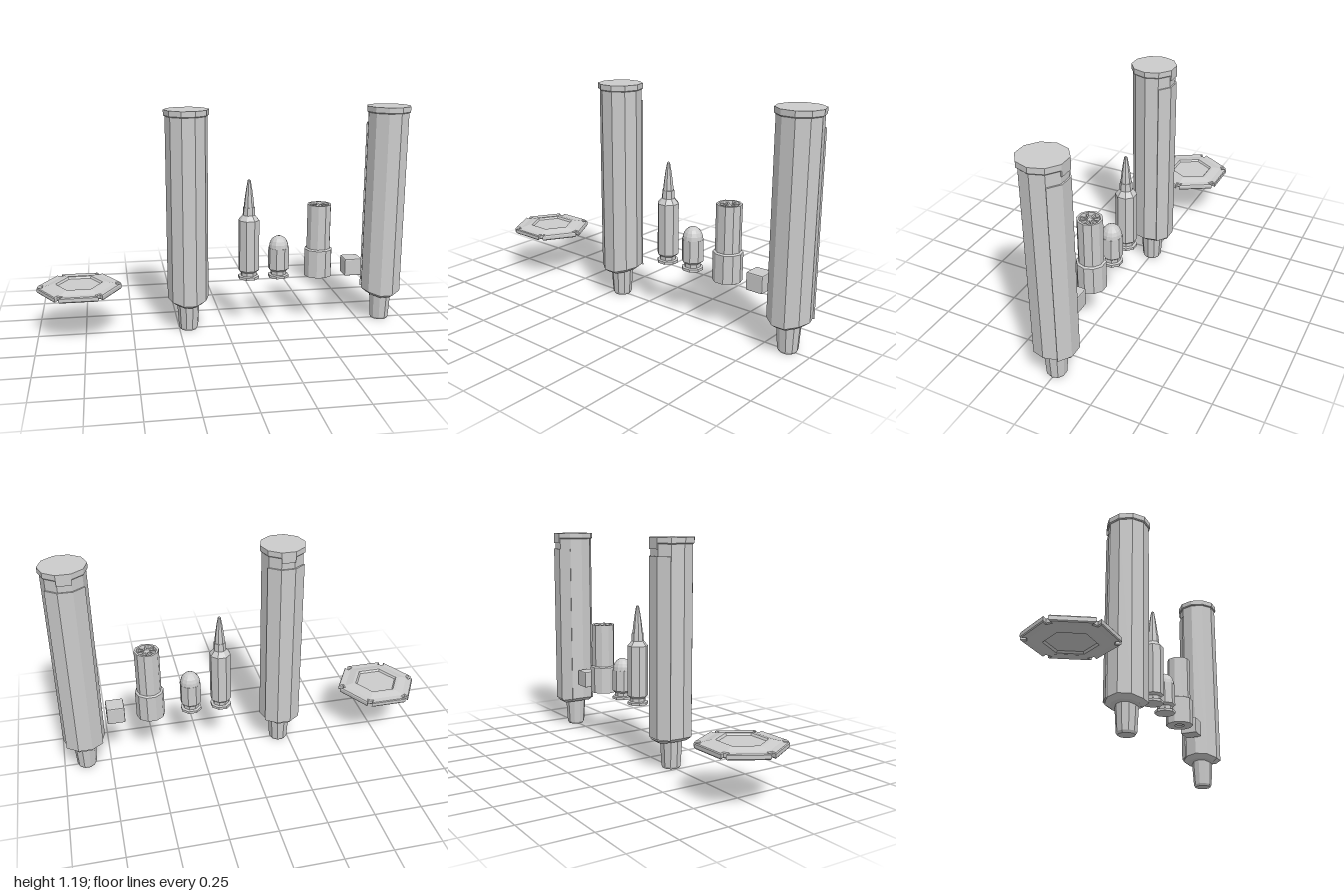
import * as THREE from 'three';
import { RoundedBoxGeometry } from 'three/addons/geometries/RoundedBoxGeometry.js';

const mat = new THREE.MeshStandardMaterial({ color: 0xcccccc, flatShading: true });

function add(parent, name, geo, x = 0, y = 0, z = 0) {
  const mesh = new THREE.Mesh(geo, mat);
  mesh.name = name;
  mesh.position.set(x, y, z);
  parent.add(mesh);
  return mesh;
}

function group(parent, name, x) {
  const g = new THREE.Group();
  g.name = name;
  g.position.x = x;
  parent.add(g);
  return g;
}

// faceted turned solid; profile runs from bottom to top as [radius, y]
function turned(profile, sides, turn = 0) {
  const pts = profile.map(([r, y]) => new THREE.Vector2(r, y));
  return new THREE.LatheGeometry(pts, sides).rotateY(turn);
}

// plan outline raised upwards from y = 0
function slab(points, depth, bevel = 0) {
  const geo = new THREE.ExtrudeGeometry(new THREE.Shape(points), {
    depth: depth - 2 * bevel, bevelEnabled: bevel > 0, bevelSize: bevel,
    bevelOffset: -bevel, bevelThickness: bevel, bevelSegments: 1
  });
  return geo.translate(0, 0, bevel).rotateX(-Math.PI / 2);
}

// curved plate over the rear facets of a ten-sided tube
function rearPlate(fromDeg, toDeg, height) {
  const pts = [];
  const push = (r, d) => {
    const a = THREE.MathUtils.degToRad(d);
    pts.push(new THREE.Vector2(r * Math.cos(a), r * Math.sin(a)));
  };
  for (let d = fromDeg; d <= toDeg; d += 36) push(0.118, d);
  for (let d = toDeg; d >= fromDeg; d -= 36) push(0.1, d);
  return slab(pts, height);
}

function makeTube(parent, name, x) {
  const g = group(parent, name, x);
  // body, its lower end rising towards both sides
  const body = turned([[0, 0.135], [0.085, 0.135], [0.11, 0.15], [0.11, 1.16], [0, 1.16]], 10, Math.PI / 2);
  const p = body.attributes.position;
  for (let i = 0; i < p.count; i++) {
    if (p.getY(i) < 0.5) p.setY(i, p.getY(i) + 0.26 * Math.abs(p.getX(i)));
  }
  add(g, 'tubeBody', body);
  add(g, 'tubeCap', turned([[0, 1.155], [0.113, 1.155], [0.118, 1.16], [0.118, 1.188], [0, 1.188]], 10, Math.PI / 2));
  add(g, 'rearSleeve', rearPlate(36, 144, 0.925), 0, 0.17);
  add(g, 'capTab', rearPlate(72, 108, 0.03), 0, 1.13);
  add(g, 'nozzle', turned([[0, 0], [0.045, 0], [0.052, 0.012], [0.061, 0.16], [0, 0.17]], 10, Math.PI / 2));
}

function makePlate(parent) {
  const g = group(parent, 'hexPlate', -0.775);
  // rim with a slot cut in each corner
  const pts = [], r = 0.226, w = 0.012;
  for (let k = 0; k < 6; k++) {
    const a = k * Math.PI / 3, c = Math.cos(a), s = Math.sin(a);
    for (const [d, n] of [[r - 0.577 * w, -w], [r - 0.033, -w], [r - 0.033, w], [r - 0.577 * w, w]]) {
      pts.push(new THREE.Vector2(d * c - n * s, d * s + n * c));
    }
  }
  add(g, 'plateRim', slab(pts, 0.028, 0.005), 0, 0.249);
  // raised ring round a sunken floor, the same on both faces
  add(g, 'plateCentre', turned([
    [0, 0.248], [0.113, 0.248], [0.122, 0.239], [0.14, 0.239], [0.185, 0.249],
    [0.185, 0.277], [0.14, 0.288], [0.122, 0.288], [0.113, 0.278], [0, 0.278]
  ], 6, Math.PI / 2));
}

export function createModel() {
  const model = new THREE.Group();
  model.name = 'ammunitionSet';

  makePlate(model);
  makeTube(model, 'rightTube', -0.2);
  makeTube(model, 'leftTube', 0.88);

  // cartridges share the rim and extractor groove
  const base = [[0, 0.27], [0.057, 0.27], [0.057, 0.284], [0.043, 0.287], [0.043, 0.306]];
  const long = group(model, 'longCartridge', 0.13);
  add(long, 'longCase', turned([...base, [0.057, 0.318], [0.057, 0.595], [0.034, 0.622], [0.032, 0.665], [0, 0.665]], 8, Math.PI / 8));
  add(long, 'longBullet', turned([[0, 0.66], [0.029, 0.66], [0.024, 0.71], [0.016, 0.765], [0.008, 0.81], [0, 0.816]], 8, Math.PI / 8));

  const short = group(model, 'shortCartridge', 0.295);
  add(short, 'shortCase', turned([...base, [0.057, 0.318], [0.057, 0.435], [0, 0.435]], 8, Math.PI / 8));
  const dome = [[0, 0.43]];
  for (let i = 0; i <= 5; i++) {
    const a = i * Math.PI / 10;
    dome.push([0.054 * Math.cos(a), 0.435 + 0.066 * Math.sin(a)]);
  }
  add(short, 'shortBullet', turned(dome, 12));

  // wide shell with a primer recess below and a folded, sunken top
  const shell = group(model, 'wideShell', 0.515);
  add(shell, 'shellBase', turned([
    [0, 0.278], [0.024, 0.278], [0.028, 0.27], [0.076, 0.27], [0.076, 0.42], [0.065, 0.426], [0, 0.426]
  ], 10, Math.PI / 2));
  add(shell, 'shellHull', turned([
    [0, 0.42], [0.065, 0.42], [0.065, 0.668], [0.053, 0.668], [0.05, 0.648], [0, 0.648]
  ], 10, Math.PI / 2));
  for (let i = 0; i < 4; i++) {
    add(shell, 'topFold', new THREE.BoxGeometry(0.1, 0.014, 0.008), 0, 0.654).rotation.y = i * Math.PI / 4;
  }

  add(model, 'smallCube', new RoundedBoxGeometry(0.094, 0.094, 0.094, 1, 0.006), 0.703, 0.315);
  return model;
}
